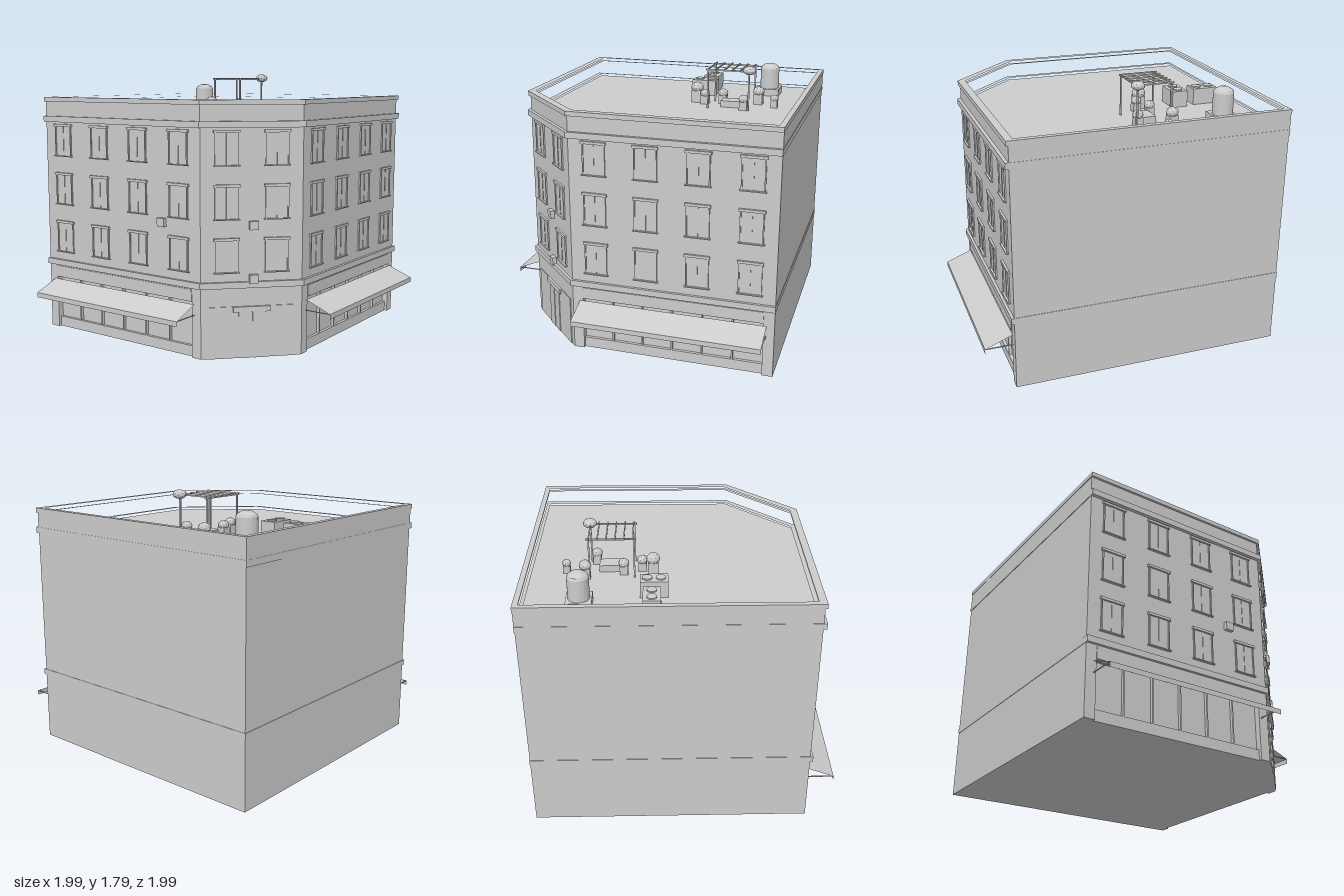
import * as THREE from 'three';

const stone = new THREE.MeshStandardMaterial({ color: 0xcccccc });
stone.name = 'pale grey';
stone.flatShading = true;
const sheet = new THREE.MeshStandardMaterial({ color: 0xcccccc, side: THREE.DoubleSide });
sheet.name = 'pale grey sheet';

const ROOF = 1.48;

function add(parent, name, geometry, material = stone) {
  const mesh = new THREE.Mesh(geometry, material);
  mesh.name = name;
  parent.add(mesh);
  return mesh;
}

// Box given by its limits on each axis
function block(parent, name, x0, x1, y0, y1, z0, z1) {
  const mesh = add(parent, name, new THREE.BoxGeometry(x1 - x0, y1 - y0, z1 - z0));
  mesh.position.set((x0 + x1) / 2, (y0 + y1) / 2, (z0 + z1) / 2);
  return mesh;
}

// Five-sided plan: o moves the street sides out, r the two party walls
function plan(o = 0, r = 0) {
  const k = 0.36 - o + o * Math.SQRT2;
  return [[-0.82 - o, -0.985 - r], [0.985 + r, -0.985 - r], [0.985 + r, 0.82 + o],
    [-k, 0.82 + o], [-0.82 - o, k]];
}

// Upright prism over an (x, z) outline, with an optional hole
function prism(parent, name, outline, y0, y1, hole) {
  const points = (list) => list.map(([x, z]) => new THREE.Vector2(x, -z));
  const shape = new THREE.Shape(points(outline));
  if (hole) shape.holes.push(new THREE.Path(points(hole)));
  const g = new THREE.ExtrudeGeometry(shape, { depth: y1 - y0, bevelEnabled: false });
  g.rotateX(-Math.PI / 2).translate(0, y0, 0);
  return add(parent, name, g);
}

// A street side, its wall lying in local z = 0
function facade(parent, name, x, z, turn) {
  const side = new THREE.Group();
  side.name = name;
  side.position.set(x, 0, z);
  side.rotation.y = turn;
  parent.add(side);
  return side;
}

function windows(side, centres) {
  for (const sill of [0.55, 0.887, 1.223]) {
    for (const u of centres) {
      const w = new THREE.Group();
      w.name = 'window';
      w.position.set(u, sill, 0);
      side.add(w);
      block(w, 'sill', -0.083, 0.083, 0, 0.007, -0.01, 0.016);
      block(w, 'lintel', -0.083, 0.083, 0.207, 0.224, -0.01, 0.014);
      block(w, 'pane', -0.07, 0.07, 0.007, 0.207, -0.01, 0.002);
      for (const s of [-1, 1]) block(w, 'jamb', s * 0.071 - 0.004, s * 0.071 + 0.004, 0.007, 0.207, -0.01, 0.009);
      block(w, 'mullion', -0.003, 0.003, 0.007, 0.207, -0.01, 0.005);
    }
  }
}

// Shop window with awning between the piers at a and b
function shop(side, a, b) {
  block(side, 'shopHeader', a, b, 0.365, 0.46, -0.05, 0);
  block(side, 'shopSign', a, b, 0.368, 0.445, -0.01, 0.005);
  block(side, 'stallRiser', a, b, 0, 0.07, -0.05, -0.02);
  for (let i = 1; i < 6; i++) {
    const u = a + (b - a) * i / 6;
    block(side, 'shopMullion', u - 0.005, u + 0.005, 0.07, 0.365, -0.05, -0.02);
  }
  const l = a - 0.02, r = b + 0.02;
  const g = new THREE.BufferGeometry();
  const rows = [[0.35, 0.002], [0.28, 0.178], [0.28, 0.178], [0.247, 0.178]];
  g.setAttribute('position', new THREE.Float32BufferAttribute(
    rows.flatMap(([y, z]) => [l, y, z, r, y, z]), 3));
  g.setIndex([0, 2, 1, 1, 2, 3, 4, 6, 5, 5, 6, 7]);
  g.computeVertexNormals();
  add(side, 'awning', g, sheet);
  for (const u of [l + 0.004, r - 0.004]) block(side, 'awningArm', u - 0.003, u + 0.003, 0.277, 0.282, 0, 0.176);
}

function conditioner(side, u, y) {
  block(side, 'airConditioner', u - 0.028, u + 0.028, y, y + 0.055, -0.01, 0.027);
}

function bush(parent, x, z, r, y, potted = true) {
  const leaves = add(parent, 'bush', new THREE.IcosahedronGeometry(r, 1));
  leaves.scale.y = potted ? 0.85 : 0.65;
  leaves.rotation.y = x * 9;
  leaves.position.set(x, y, z);
  if (!potted) return;
  const h = r * 0.75;
  block(parent, 'planter', x - h, x + h, ROOF, y - r * 0.4, z - h, z + h);
}

export function createModel() {
  const model = new THREE.Group();
  model.name = 'cornerBuilding';

  // Walls: recessed ground floor, piers, upper floors and parapet
  prism(model, 'groundFloor', [[-0.78, -0.985], [0.985, -0.985], [0.985, 0.78], [-0.29, 0.78], [-0.78, 0.29]], 0, 0.46);
  prism(model, 'cornerPier', [[-0.82, 0.29], [-0.78, 0.29], [-0.29, 0.78], [-0.29, 0.82], [-0.36, 0.82], [-0.82, 0.36]], 0, 0.46);
  block(model, 'frontPier', 0.915, 0.985, 0, 0.46, 0.77, 0.82);
  block(model, 'sidePier', -0.82, -0.77, 0, 0.46, -0.985, -0.915);
  prism(model, 'upperFloors', plan(), 0.455, ROOF);
  prism(model, 'parapet', plan(0, 0.002), ROOF, 1.605, plan(-0.03, -0.025));
  prism(model, 'coping', plan(0.014, 0.005), 1.6, 1.63, plan(-0.035, -0.03));
  prism(model, 'cornice', plan(0.022, 0.004), 1.46, 1.5, plan(-0.02, -0.02));
  prism(model, 'beltCourse', plan(0.018, 0.003), 0.455, 0.495, plan(-0.02, -0.02));

  // Front and side streets share one layout, mirrored about the cut corner
  const columns = [-0.19, 0.147, 0.483, 0.82];
  const front = facade(model, 'frontFacade', 0, 0.82, 0);
  windows(front, columns);
  shop(front, -0.29, 0.915);
  const side = facade(model, 'sideFacade', -0.82, 0, -Math.PI / 2);
  windows(side, columns.map((u) => -u));
  shop(side, -0.915, 0.29);
  conditioner(side, 0.06, 0.825);

  // Cut corner with the entrance
  const corner = facade(model, 'cornerFacade', -0.59, 0.59, -Math.PI / 4);
  windows(corner, [-0.16, 0.16]);
  conditioner(corner, 0.01, 0.825);
  conditioner(corner, 0.01, 0.485);
  block(corner, 'entranceSurround', -0.28, 0.28, 0, 0.335, -0.01, 0.006);
  block(corner, 'entranceLintel', -0.12, 0.12, 0.3, 0.335, -0.01, 0.016);
  for (const s of [-1, 1]) block(corner, 'door', s * 0.045 - 0.04, s * 0.045 + 0.04, 0, 0.3, 0, 0.011);

  // Roof equipment
  block(model, 'tankBase', 0.55, 0.71, ROOF, 1.53, -0.78, -0.62);
  const profile = [[0, 1.53], [0.068, 1.53], [0.068, 1.675], [0.06, 1.69], [0.035, 1.706], [0, 1.712]];
  const tank = add(model, 'waterTank', new THREE.LatheGeometry(profile.map(([x, y]) => new THREE.Vector2(x, y)), 20));
  tank.position.set(0.63, 0, -0.7);
  block(model, 'roofUnit', 0.13, 0.24, ROOF, 1.59, -0.855, -0.68);
  block(model, 'roofUnit', 0.085, 0.26, ROOF, 1.59, -0.625, -0.515);
  for (const [x, z] of [[0.185, -0.81], [0.185, -0.725], [0.13, -0.57], [0.215, -0.57]]) {
    const fan = add(model, 'roofUnitFan', new THREE.CylinderGeometry(0.032, 0.032, 0.008, 12));
    fan.position.set(x, 1.594, z);
  }

  // Pergola, table and plants
  for (const z of [-0.35, -0.12]) {
    block(model, 'pergolaBeam', 0.285, 0.605, 1.745, 1.755, z - 0.005, z + 0.005);
    for (const x of [0.3, 0.587]) block(model, 'pergolaPost', x - 0.005, x + 0.005, ROOF, 1.75, z - 0.005, z + 0.005);
  }
  for (let i = 0; i < 6; i++) {
    const x = 0.305 + i * 0.056;
    block(model, 'pergolaRafter', x - 0.004, x + 0.004, 1.752, 1.761, -0.37, -0.105);
  }
  block(model, 'gardenTable', 0.38, 0.53, ROOF, 1.525, -0.275, -0.175);
  bush(model, 0.59, -0.12, 0.046, 1.758, false);
  const plants = [[0.18, -0.295, 0.046, 1.585], [0.25, -0.25, 0.036, 1.555], [0.37, -0.295, 0.036, 1.555],
    [0.615, -0.35, 0.041, 1.57], [0.55, -0.14, 0.036, 1.555], [0.742, -0.27, 0.03, 1.545]];
  for (const [x, z, r, y] of plants) bush(model, x, z, r, y);

  return model;
}
